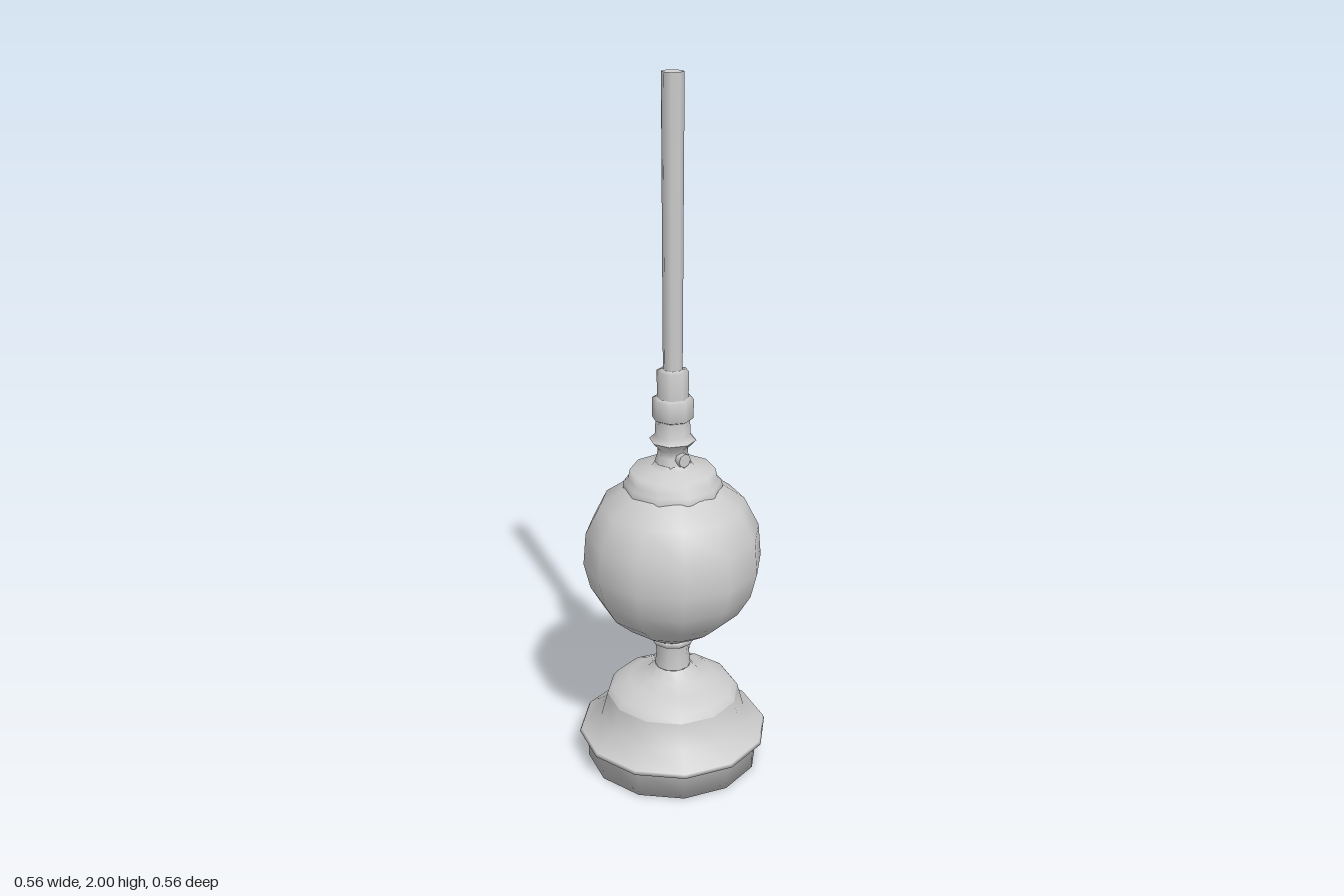
import * as THREE from 'three';

export function createModel() {
  const model = new THREE.Group();
  const metal = new THREE.MeshStandardMaterial({ color: 0xcccccc, side: THREE.DoubleSide });
  metal.name = 'pale grey metal';

  // Turned part: profile of [radius, height] from bottom to top
  function turned(name, sides, profile) {
    const points = profile.map(([r, y]) => new THREE.Vector2(r, y));
    const mesh = new THREE.Mesh(new THREE.LatheGeometry(points, sides), metal);
    mesh.name = name;
    model.add(mesh);
    return mesh;
  }

  // Foot with overhanging rim, stepped shoulder and short stem
  turned('foot', 12, [[0, 0], [0.255, 0], [0.255, 0.08], [0.28, 0.085], [0.275, 0.095], [0.215, 0.135], [0.195, 0.21]]);
  turned('shoulder', 12, [[0.195, 0.21], [0.18, 0.23], [0.13, 0.255], [0.08, 0.27], [0.052, 0.3]]);
  turned('stem', 10, [[0.052, 0.3], [0.048, 0.34], [0.052, 0.38]]);
  turned('stemRing', 10, [[0.05, 0.375], [0.062, 0.38], [0.062, 0.395], [0.05, 0.4]]);

  // Globe and the cup below it
  turned('cup', 12, [[0.052, 0.39], [0.085, 0.41], [0.145, 0.45]]);
  turned('globe', 12, [[0.145, 0.45], [0.2, 0.5], [0.238, 0.565], [0.256, 0.64], [0.248, 0.735], [0.205, 0.82], [0.135, 0.87]]);

  // Collar on top of the globe
  turned('collar', 10, [[0.14, 0.865], [0.138, 0.885], [0.125, 0.895], [0.12, 0.92], [0.06, 0.932], [0.05, 0.945]]);

  // Neck, flared ring and sleeves
  turned('neck', 8, [[0.055, 0.93], [0.044, 0.965], [0.042, 0.985], [0.066, 1.01]]);
  turned('flare', 8, [[0.066, 1.01], [0.05, 1.025], [0.048, 1.07]]);
  turned('lowerSleeve', 8, [[0.045, 1.068], [0.058, 1.075], [0.058, 1.13], [0.042, 1.135]]);
  turned('upperSleeve', 8, [[0.044, 1.13], [0.044, 1.21], [0.028, 1.215]]);

  // Long straight pipe with a closed end
  turned('pipe', 8, [[0.027, 1.2], [0.03, 2]]);
  turned('pipeEnd', 8, [[0.03, 2], [0, 1.995]]);

  // Small stud on the side of the neck
  const stud = new THREE.Mesh(new THREE.CylinderGeometry(0.02, 0.02, 0.03, 8), metal);
  stud.name = 'neckStud';
  stud.rotation.z = Math.PI / 2;
  stud.position.set(0.04, 0.962, 0);
  model.add(stud);

  return model;
}
